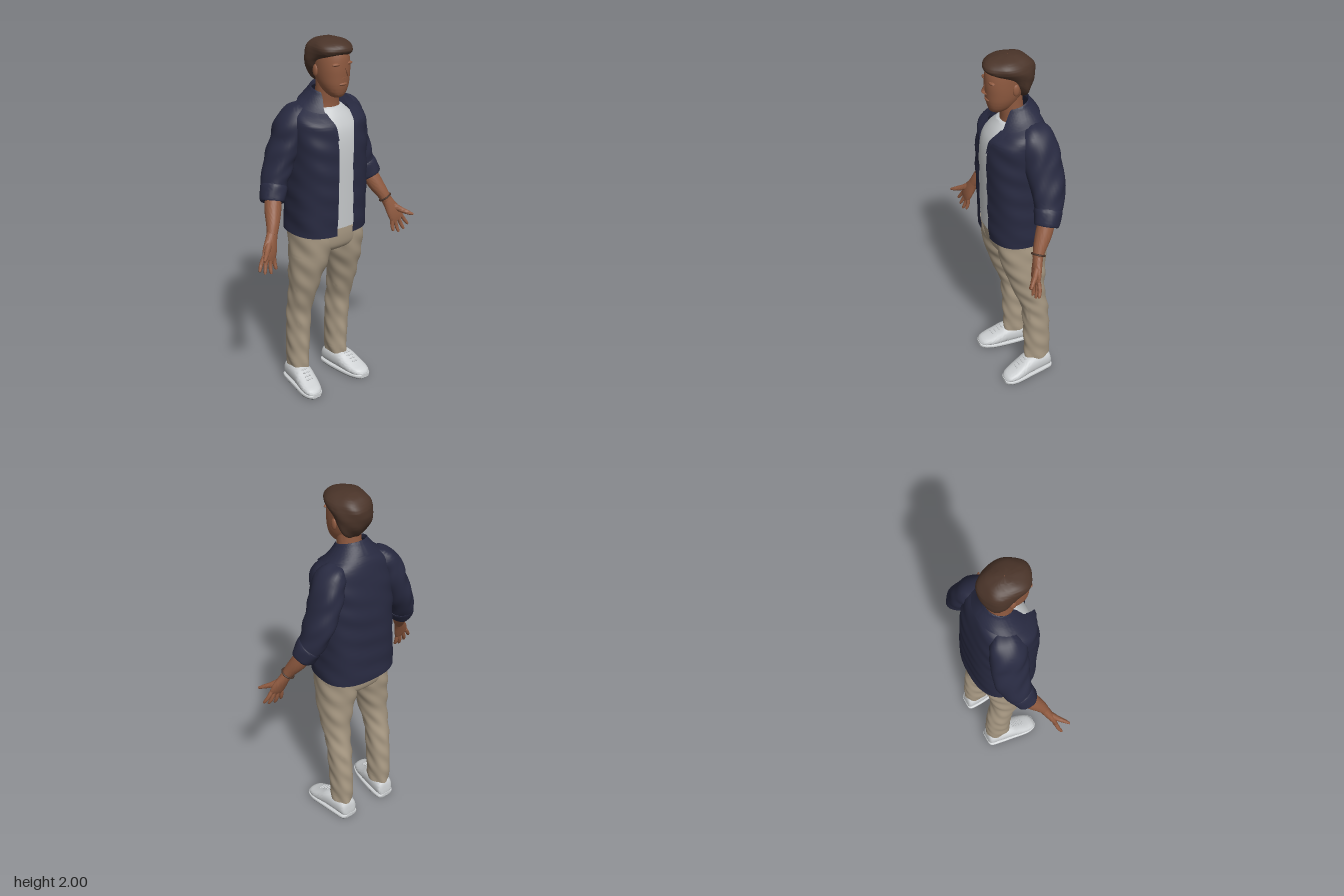
import * as THREE from 'three';
import { toCreasedNormals } from 'three/addons/utils/BufferGeometryUtils.js';

const mat = (name, color, side = THREE.FrontSide) => {
  const m = new THREE.MeshStandardMaterial({ color, side });
  m.name = name;
  return m;
};

// Catmull-Rom resampling of cross-section rows
function resample(rows, k) {
  const out = [], at = i => rows[Math.min(Math.max(i, 0), rows.length - 1)];
  for (let i = 0; i < rows.length - 1; i++) {
    for (let s = 0; s < k; s++) {
      const t = s / k, A = at(i - 1), B = at(i), C = at(i + 1), D = at(i + 2);
      out.push(B.map((b, j) => b + 0.5 * t * (C[j] - A[j] +
        t * (2 * A[j] - 5 * b + 4 * C[j] - D[j] + t * (3 * (b - C[j]) + D[j] - A[j])))));
    }
  }
  out.push(rows[rows.length - 1]);
  return out;
}

// Loft of superellipse rings. Row: x, y, z, radiusU, radiusV, power, front gap, patch end
function loft(rows, { axis, ref = [1, 0, 0], seg = 36, k = 5, cap = true, fold = 0, warp } = {}) {
  rows = resample(rows.map(r => [...r, ...[2, 0, 0].slice(r.length - 5)]), k);
  const open = rows[0][6] > 0;
  if (cap && !open) {
    const tip = r => r.map((v, i) => (i === 3 || i === 4 ? v * 0.02 : v));
    rows = [tip(rows[0]), ...rows, tip(rows[rows.length - 1])];
  }
  const pos = [], idx = [], w = open ? seg + 1 : seg;
  const P = i => new THREE.Vector3(...rows[Math.min(Math.max(i, 0), rows.length - 1)].slice(0, 3));
  rows.forEach(([, , , a, b, n, gap, far], i) => {
    const T = axis ? new THREE.Vector3(...axis) : P(i + 2).sub(P(i - 2)).normalize();
    const u = new THREE.Vector3(...ref).addScaledVector(T, -T.dot(new THREE.Vector3(...ref))).normalize();
    const v = T.clone().cross(u), c = P(i);
    const angle = g => Math.asin(Math.min(1, Math.pow(g / b, n / 2)));
    const a0 = open ? angle(gap) : 0;
    const a1 = open ? (far ? angle(far) : 2 * Math.PI - a0) : 2 * Math.PI;
    const sp = x => Math.sign(x) * Math.pow(Math.abs(x), 2 / n);
    for (let j = 0; j < w; j++) {
      const q = a0 + (a1 - a0) * j / seg, h = c.y;
      const f = fold * (Math.sin(q * 3 + h * 31) * Math.sin(q * 2 - h * 17) + 0.5 * Math.sin(q * 5 + h * 55));
      const p = c.clone().addScaledVector(u, Math.max(a + f, 0.0003) * sp(Math.cos(q)))
        .addScaledVector(v, Math.max(b + f, 0.0003) * sp(Math.sin(q)));
      if (warp) warp(p);
      pos.push(p.x, p.y, p.z);
    }
    if (i) for (let j = 0; j < seg; j++) {
      const m = (i - 1) * w, j2 = (j + 1) % w;
      idx.push(m + j, m + j2, m + w + j, m + j2, m + w + j2, m + w + j);
    }
  });
  const g = new THREE.BufferGeometry();
  g.setAttribute('position', new THREE.Float32BufferAttribute(pos, 3));
  g.setIndex(idx);
  return toCreasedNormals(g, 0.9);
}

export function createModel() {
  const root = new THREE.Group();
  const skin = mat('skin', 0x8f5a40), hairMat = mat('hair brown', 0x4a3429);
  const navy = mat('jacket navy', 0x282a41, THREE.DoubleSide), tan = mat('trouser tan', 0xa99a84);
  const white = mat('shirt white', 0xc6c9cb), shoeMat = mat('shoe white', 0xcdd0d2);
  const dark = mat('sole grey', 0x5a5e5f);
  const add = (name, geo, m, parent = root) => {
    const mesh = new THREE.Mesh(geo, m);
    mesh.name = name;
    parent.add(mesh);
    return mesh;
  };
  const up = { axis: [0, 1, 0] };
  const ring = (y, x, a, b, n = 2, ...rest) => [x, y, 0, a, b, n, ...rest];
  const ball = (name, x, y, z, a, b, c, m = skin) => {
    const g = new THREE.SphereGeometry(1, 20, 14).scale(a, b, c);
    return add(name, g.translate(x, y, z), m);
  };

  // Head and neck, facing +x
  add('head', loft([
    ring(1.703, 0.095, 0.022, 0.022), ring(1.712, 0.09, 0.042, 0.037), ring(1.735, 0.077, 0.065, 0.056, 2.2),
    ring(1.77, 0.066, 0.084, 0.072, 2.2), ring(1.81, 0.055, 0.098, 0.081, 2.2), ring(1.86, 0.045, 0.11, 0.086, 2.2),
    ring(1.92, 0.035, 0.116, 0.088), ring(1.96, 0.03, 0.1, 0.08), ring(1.985, 0.03, 0.05, 0.04)], up), skin);
  add('neck', loft([ring(1.6, 0.005, 0.07, 0.08), ring(1.66, 0.01, 0.063, 0.068),
    ring(1.72, 0.018, 0.062, 0.064), ring(1.8, 0.026, 0.062, 0.064)], up), skin);
  add('nose', loft([[0.145, 1.878, 0, 0.008, 0.009], [0.155, 1.85, 0, 0.011, 0.01],
    [0.161, 1.825, 0, 0.015, 0.016], [0.155, 1.812, 0, 0.01, 0.013]], { ...up, seg: 16 }), skin);
  ball('lips', 0.144, 1.778, 0, 0.013, 0.009, 0.026);
  ball('chin', 0.116, 1.728, 0, 0.02, 0.02, 0.026);
  for (const s of [-1, 1]) {
    ball('ear', 0.03, 1.838, 0.086 * s, 0.018, 0.031, 0.01);
    ball('browRidge', 0.138, 1.88, 0.036 * s, 0.014, 0.009, 0.028);
  }
  add('hair', loft([
    ring(1.775, -0.03, 0.015, 0.045), ring(1.8, -0.028, 0.037, 0.072), ring(1.84, -0.025, 0.066, 0.092),
    ring(1.88, -0.014, 0.086, 0.102), ring(1.912, 0.012, 0.112, 0.105, 2.2), ring(1.935, 0.03, 0.129, 0.106, 2.2),
    ring(1.96, 0.037, 0.121, 0.1, 2.2), ring(1.983, 0.036, 0.092, 0.076), ring(1.997, 0.03, 0.04, 0.035)],
  { ...up, seg: 48, fold: 0.0035 }), hairMat);

  // Shirt
  add('shirt', loft([ring(1.005, 0, 0.166, 0.195, 2.5), ring(1.2, 0.002, 0.166, 0.195, 2.5),
    ring(1.4, 0.006, 0.162, 0.19, 2.5), ring(1.52, 0.008, 0.148, 0.18, 2.4),
    ring(1.59, 0.01, 0.118, 0.14, 2.2), ring(1.645, 0.01, 0.078, 0.082)], up), white);

  // Open jacket: the neckline dips towards the front
  const neckline = p => {
    p.y -= 0.3 * (p.x + 0.06) * THREE.MathUtils.smoothstep(p.y, 1.55, 1.71);
  };
  const cloth = { ...up, seg: 72, k: 8, warp: neckline };
  add('jacketBody', loft([
    ring(0.968, -0.005, 0.18, 0.22, 2.6, 0.052), ring(1.2, 0, 0.18, 0.216, 2.6, 0.048),
    ring(1.4, 0.005, 0.176, 0.214, 2.6, 0.046), ring(1.5, 0.008, 0.168, 0.214, 2.5, 0.05),
    ring(1.58, 0.008, 0.155, 0.213, 2.4, 0.06), ring(1.635, 0.006, 0.136, 0.19, 2.2, 0.072),
    ring(1.68, 0.003, 0.11, 0.132, 2, 0.076), ring(1.735, 0.002, 0.077, 0.084, 2, 0.066)],
  { ...cloth, fold: 0.003 }), navy);
  add('collar', loft([ring(1.672, 0.004, 0.127, 0.158, 2, 0.09), ring(1.7, 0.003, 0.11, 0.124, 2, 0.078),
    ring(1.735, 0.002, 0.087, 0.094, 2, 0.066), ring(1.757, 0.002, 0.074, 0.08, 2, 0.064),
    ring(1.735, 0.002, 0.07, 0.077, 2, 0.064)], cloth), navy);
  for (const s of [-1, 1]) {
    const lapel = add('lapel', loft([ring(1.5, 0.008, 0.176, 0.22, 2.5, 0.049, 0.054),
      ring(1.58, 0.008, 0.163, 0.219, 2.4, 0.059, 0.09), ring(1.64, 0.006, 0.143, 0.196, 2.2, 0.071, 0.125),
      ring(1.675, 0.004, 0.122, 0.15, 2, 0.076, 0.11)], { ...cloth, seg: 10 }), navy);
    lapel.scale.z = -s;
  }

  // Trousers
  add('hips', loft([ring(0.85, 0, 0.09, 0.12, 2.3), ring(0.885, 0, 0.135, 0.195, 2.4),
    ring(0.95, 0, 0.15, 0.208, 2.5), ring(1.03, 0, 0.15, 0.2, 2.5)], up), tan);

  for (const s of [-1, 1]) {
    const limb = new THREE.Group();
    limb.name = 'legAndShoe';
    root.add(limb);
    const side = rows => rows.map(([x, y, z, ...r]) => [x, y, z * s, ...r]);
    add('trouserLeg', loft(side([
      [-0.078, 0.105, 0.138, 0.076, 0.054], [-0.078, 0.16, 0.137, 0.077, 0.058], [-0.077, 0.25, 0.137, 0.078, 0.06],
      [-0.07, 0.4, 0.137, 0.077, 0.064], [-0.056, 0.5, 0.137, 0.077, 0.066], [-0.028, 0.6, 0.133, 0.087, 0.073],
      [-0.014, 0.7, 0.127, 0.105, 0.085], [-0.003, 0.8, 0.115, 0.126, 0.098], [0, 0.88, 0.107, 0.14, 0.104],
      [0, 0.99, 0.105, 0.15, 0.104]]), { ...up, k: 8, fold: 0.0035 }), tan, limb);

    // Shoe: rings run from heel to toe
    const along = { axis: [1, 0, 0], ref: [0, 1, 0] };
    const stations = [[-0.16, 0.135, 0.03, 0.05], [-0.145, 0.137, 0.05, 0.11], [-0.08, 0.143, 0.058, 0.125],
      [-0.01, 0.152, 0.06, 0.118], [0.04, 0.16, 0.061, 0.092], [0.09, 0.168, 0.058, 0.068],
      [0.13, 0.173, 0.045, 0.052], [0.149, 0.175, 0.024, 0.036]];
    add('shoeUpper', loft(side(stations.map(([x, z, w, h]) => [x, h / 2 + 0.004, z, h / 2 - 0.004, w, 2.4])), along), shoeMat, limb);
    add('shoeSole', loft(side(stations.map(([x, z, w]) => [x * 1.02, 0.014, z, 0.011, w + 0.004, 5])), along), shoeMat, limb);
    add('soleUnderside', loft(side(stations.map(([x, z, w]) => [x, 0.003, z, 0.003, w, 5])), along), dark, limb);
    for (let i = 0; i < 4; i++) {
      const lace = add('lace', new THREE.CapsuleGeometry(0.004, 0.035, 3, 8).rotateX(Math.PI / 2), shoeMat, limb);
      lace.position.set(0.01 + i * 0.02, 0.113 - i * 0.011, (0.155 + i * 0.003) * s);
    }

    // Sleeve and rolled cuff
    const arm = new THREE.Group();
    arm.name = 'arm';
    root.add(arm);
    add('sleeve', loft(side([
      [-0.03, 1.635, 0.11, 0.055, 0.035], [-0.04, 1.605, 0.155, 0.09, 0.06], [-0.048, 1.55, 0.188, 0.098, 0.075],
      [-0.057, 1.47, 0.213, 0.1, 0.075], [-0.063, 1.38, 0.25, 0.096, 0.07], [-0.056, 1.29, 0.284, 0.083, 0.066],
      [-0.036, 1.22, 0.31, 0.068, 0.062], [-0.026, 1.185, 0.323, 0.062, 0.058]]), { k: 8, fold: 0.004 }), navy, arm);
    add('cuff', loft(side([[-0.046, 1.25, 0.298, 0.069, 0.06], [-0.042, 1.24, 0.303, 0.075, 0.068],
      [-0.03, 1.2, 0.319, 0.069, 0.067], [-0.022, 1.175, 0.328, 0.064, 0.064],
      [-0.02, 1.17, 0.33, 0.056, 0.057]]), { fold: 0.002 }), navy, arm);

    // Forearm and open hand, palm forward
    add('forearm', loft(side([[-0.03, 1.2, 0.318, 0.045, 0.045], [0.005, 1.13, 0.345, 0.043, 0.043],
      [0.038, 1.075, 0.37, 0.034, 0.035], [0.06, 1.03, 0.39, 0.025, 0.029]])), skin, arm);
    add('palm', loft(side([[0.053, 1.045, 0.383, 0.025, 0.029], [0.066, 1.01, 0.4, 0.024, 0.034],
      [0.08, 0.97, 0.418, 0.021, 0.043], [0.09, 0.935, 0.432, 0.016, 0.044], [0.097, 0.912, 0.442, 0.009, 0.038]])), skin, arm);
    [-0.034, -0.012, 0.011, 0.033].forEach((t, i) => {
      const b = [0.091, 0.927 + 0.35 * t, 0.435 + 0.93 * t], len = [0.066, 0.088, 0.09, 0.08][i];
      const at = (f, r) => [b[0] + 0.25 * len * f * f, b[1] - len * f * (0.94 - 3 * Math.max(t, 0)),
        b[2] + len * f * (0.25 + 8 * t), r, r];
      add('finger', loft(side([at(0, 0.011), at(0.5, 0.0105), at(0.85, 0.009), at(1, 0.005)]), { seg: 12, k: 3 }), skin, arm);
    });
    add('thumb', loft(side([[0.075, 0.995, 0.42, 0.02, 0.02], [0.105, 0.972, 0.453, 0.015, 0.016],
      [0.135, 0.955, 0.483, 0.011, 0.012], [0.155, 0.945, 0.505, 0.006, 0.006]]), { seg: 14 }), skin, arm);
    if (s < 0) {
      const band = add('bracelet', new THREE.TorusGeometry(0.034, 0.005, 8, 28), hairMat, arm);
      band.position.set(0.052, 1.047, -0.382);
      band.quaternion.setFromUnitVectors(new THREE.Vector3(0, 0, 1), new THREE.Vector3(0.4, -0.8, -0.36).normalize());
    }
  }
  return root;
}
